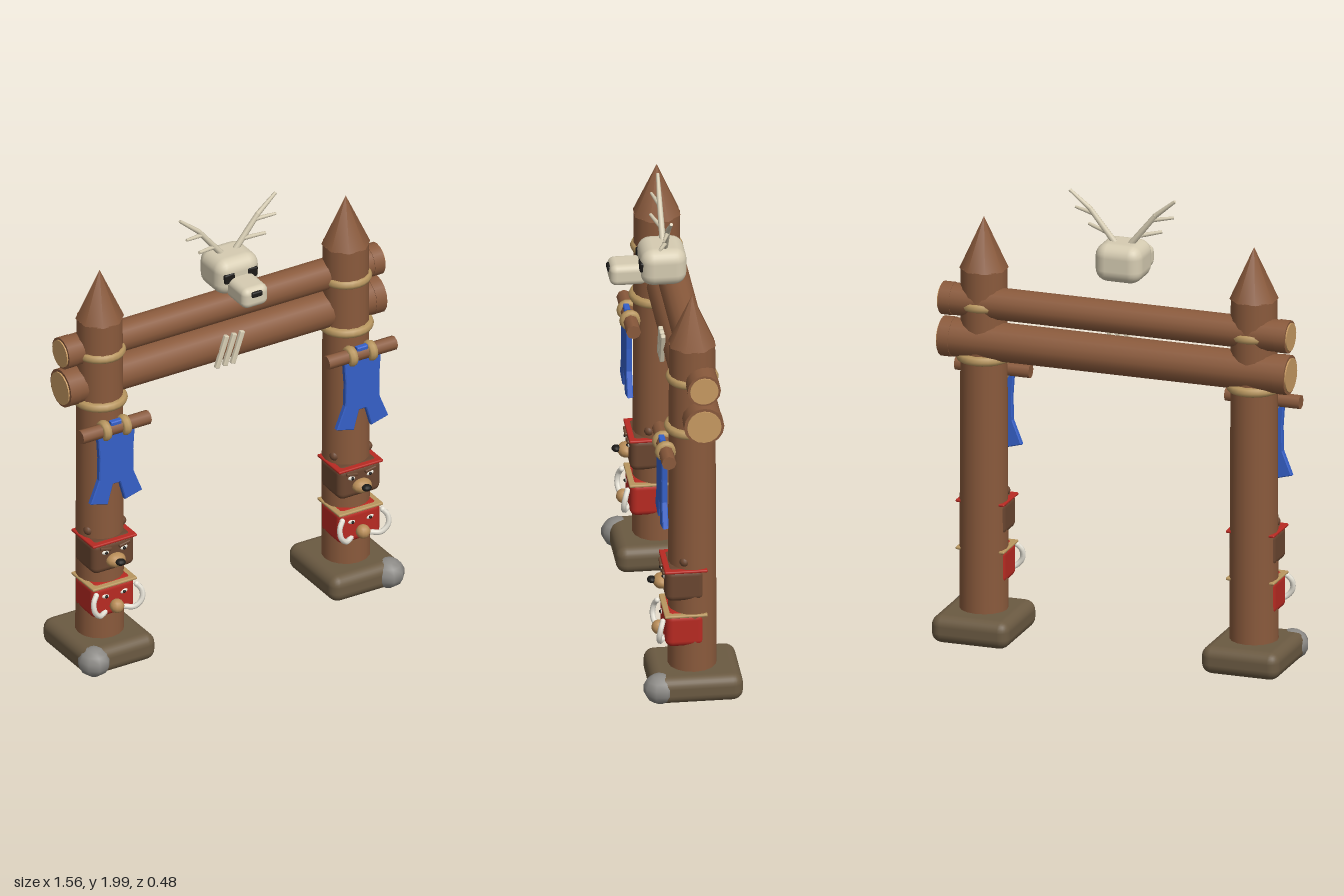
import * as THREE from 'three';
import { RoundedBoxGeometry } from 'three/addons/geometries/RoundedBoxGeometry.js';

const mat = (color) => new THREE.MeshStandardMaterial({ color });
const M = {
  wood: mat(0x8a5a3c), cut: mat(0xc79a62), rope: mat(0xb8965f), base: mat(0x6b5a42),
  stone: mat(0x8c8a86), cloth: mat(0x3560c8), bear: mat(0x6a4630), red: mat(0xb82a22),
  bone: mat(0xd6ccb2), dark: mat(0x1c1a18), white: mat(0xe8e4d8), tan: mat(0xb98d58),
};

function add(parent, name, geo, material, x = 0, y = 0, z = 0) {
  const m = new THREE.Mesh(geo, material);
  m.name = name;
  m.position.set(x, y, z);
  parent.add(m);
  return m;
}
const box = (w, h, d, r) => new RoundedBoxGeometry(w, h, d, 3, r);
const ball = (r) => new THREE.SphereGeometry(r, 12, 8);

// Tapered round bar between two points
function bar(parent, name, a, b, r0, r1, material) {
  const p = new THREE.Vector3(...a), q = new THREE.Vector3(...b);
  const m = add(parent, name, new THREE.CylinderGeometry(r1, r0, p.distanceTo(q), 8), material);
  m.position.copy(p).lerp(q, 0.5);
  m.quaternion.setFromUnitVectors(new THREE.Vector3(0, 1, 0), q.sub(p).normalize());
  return m;
}

const POST_Z = -0.045;

// Carved head wrapped round the post, with a brow band and eyes
function carvedHead(parent, name, y, h, material, bandMaterial) {
  const g = new THREE.Group();
  g.name = name;
  g.position.y = y;
  parent.add(g);
  add(g, 'headBlock', box(0.205, h, 0.165, 0.03), material, 0, 0, -0.005);
  add(g, 'browBand', box(0.215, 0.012, 0.18, 0.005), bandMaterial, 0, h / 2 - 0.008, -0.008);
  for (const s of [-1, 1]) {
    const eye = add(g, 'eye', ball(0.016), M.white, s * 0.045, 0.025, 0.075);
    eye.scale.set(1.2, 0.65, 0.5);
    eye.rotation.z = s * 0.2;
    add(g, 'pupil', ball(0.007), M.dark, s * 0.043, 0.025, 0.082);
  }
  return g;
}

function bearHead(parent) {
  const g = carvedHead(parent, 'bearHead', 0.532, 0.15, M.bear, M.red);
  for (const s of [-1, 1]) {
    add(g, 'ear', ball(0.021), M.bear, s * 0.08, 0.105, -0.003);
    const brow = add(g, 'brow', box(0.055, 0.014, 0.02, 0.005), M.bear, s * 0.045, 0.045, 0.078);
    brow.rotation.z = s * 0.2;
  }
  add(g, 'snout', ball(0.045), M.tan, 0, -0.018, 0.085).scale.set(1, 0.7, 0.8);
  add(g, 'nose', ball(0.022), M.dark, 0, -0.01, 0.125).scale.set(1, 0.65, 0.9);
}

function tuskedHead(parent) {
  const g = carvedHead(parent, 'tuskedHead', 0.322, 0.155, M.red, M.rope);
  add(g, 'nose', ball(0.031), M.tan, 0, -0.025, 0.095);
  for (const s of [-1, 1]) {
    const curve = new THREE.CatmullRomCurve3([
      [0.045, -0.05, 0.075], [0.085, -0.048, 0.1], [0.115, -0.015, 0.107],
      [0.116, 0.025, 0.1], [0.098, 0.05, 0.09],
    ].map(([x, y, z]) => new THREE.Vector3(s * x, y, z)));
    add(g, 'tusk', new THREE.TubeGeometry(curve, 14, 0.012, 7), M.white);
    add(g, 'tuskTip', ball(0.012), M.white, s * 0.098, 0.05, 0.09);
  }
}

// Hide hung from a short rod
function banner(parent) {
  const g = new THREE.Group();
  g.name = 'banner';
  g.position.set(0, 1.145, 0.072);
  parent.add(g);
  bar(g, 'bannerRod', [-0.165, 0, 0], [0.165, 0, 0], 0.031, 0.031, M.wood);
  for (const s of [-1, 1]) {
    const knot = add(g, 'rodBinding', new THREE.TorusGeometry(0.03, 0.016, 8, 14), M.rope, s * 0.048, -0.002, 0);
    knot.rotation.y = Math.PI / 2;
    knot.scale.z = 1.3;
  }
  const half = [[0.022, 0.035], [0.022, -0.02], [0.085, -0.02], [0.078, -0.12], [0.08, -0.225], [0.12, -0.325], [0.045, -0.345], [0.02, -0.255]];
  const outline = [...half, ...half.slice().reverse().map(([x, y]) => [-x, y])];
  const shape = new THREE.Shape(outline.map(([x, y]) => new THREE.Vector2(x, y)));
  add(g, 'hide', new THREE.ExtrudeGeometry(shape, {
    depth: 0.018, bevelEnabled: true, bevelSize: 0.004, bevelThickness: 0.004, bevelSegments: 1,
  }), M.cloth, 0, 0, 0);
}

function totem(side) {
  const g = new THREE.Group();
  g.name = side > 0 ? 'leftTotem' : 'rightTotem';
  g.position.x = side * 0.598;
  add(g, 'base', box(0.345, 0.12, 0.385, 0.045), M.base, 0, 0.07, -0.05);
  const stone = add(g, 'stone', new THREE.SphereGeometry(0.07, 9, 7), M.stone, side * 0.117, 0.07, 0.103);
  stone.scale.set(1, 0.93, 1.03);
  add(g, 'post', new THREE.CylinderGeometry(0.097, 0.103, 1.53, 16), M.wood, 0, 0.855, POST_Z);
  const tip = add(g, 'postTip', new THREE.ConeGeometry(0.103, 0.225, 8), M.wood, 0, 1.73, POST_Z);
  tip.rotation.y = Math.PI / 8;
  // Rope lashings
  for (const [y, r] of [[1.465, 0.09], [1.235, 0.097]]) {
    const ring = add(g, 'ropeLashing', new THREE.TorusGeometry(r, 0.021, 8, 24), M.rope, 0, y, POST_Z);
    ring.rotation.x = Math.PI / 2;
  }
  banner(g);
  bearHead(g);
  tuskedHead(g);
  return g;
}

function beam(parent, name, y, r) {
  const g = new THREE.Group();
  g.name = name;
  g.position.set(0, y, -0.075);
  parent.add(g);
  const turned = (n, geo, m, x) => { add(g, n, geo, m, x).rotation.z = Math.PI / 2; };
  turned('log', new THREE.CylinderGeometry(r, r, 1.53, 16), M.wood, 0);
  for (const s of [-1, 1]) {
    turned('barkRim', new THREE.CylinderGeometry(r * 1.03, r * 1.03, 0.05, 16), M.wood, s * 0.743);
    turned('cutEnd', new THREE.CylinderGeometry(r * 0.88, r * 0.88, 0.012, 16), M.cut, s * 0.768);
  }
}

function skull() {
  const g = new THREE.Group();
  g.name = 'skull';
  add(g, 'cranium', box(0.208, 0.165, 0.195, 0.055), M.bone, 0, 1.703, 0.008);
  add(g, 'muzzle', box(0.125, 0.095, 0.16, 0.03), M.bone, 0, 1.665, 0.152);
  add(g, 'noseHole', box(0.052, 0.026, 0.02, 0.008), M.dark, 0, 1.685, 0.229);
  for (const s of [-1, 1]) {
    const eye = add(g, 'eyeSocket', box(0.05, 0.045, 0.025, 0.008), M.dark, s * 0.055, 1.712, 0.097);
    eye.rotation.z = -s * 0.1;
    // Antler beam and tines
    const path = [[0.025, 1.765, 0], [0.145, 1.915, 0], [0.233, 1.988, -0.004]].map(([x, y, z]) => [s * x, y, z]);
    bar(g, 'antlerBase', path[0], path[1], 0.014, 0.011, M.bone);
    add(g, 'antlerJoint', ball(0.011), M.bone, ...path[1]);
    bar(g, 'antlerTip', path[1], path[2], 0.011, 0.007, M.bone);
    bar(g, 'lowerTine', [s * 0.068, 1.818, 0], [s * 0.162, 1.835, 0.035], 0.01, 0.007, M.bone);
    bar(g, 'upperTine', [s * 0.126, 1.893, 0], [s * 0.218, 1.906, 0.025], 0.01, 0.006, M.bone);
  }
  return g;
}

export function createModel() {
  const root = new THREE.Group();
  root.name = 'totemGate';
  root.add(totem(-1), totem(1));
  beam(root, 'upperBeam', 1.477, 0.068);
  beam(root, 'lowerBeam', 1.31, 0.082);
  // Bone strips on the lower beam
  for (const i of [-1, 0, 1]) {
    const strip = add(root, 'boneStrip', box(0.022, 0.15, 0.02, 0.005), M.bone, i * 0.038, 1.31, 0.01);
    strip.rotation.z = -0.33;
  }
  root.add(skull());
  return root;
}
